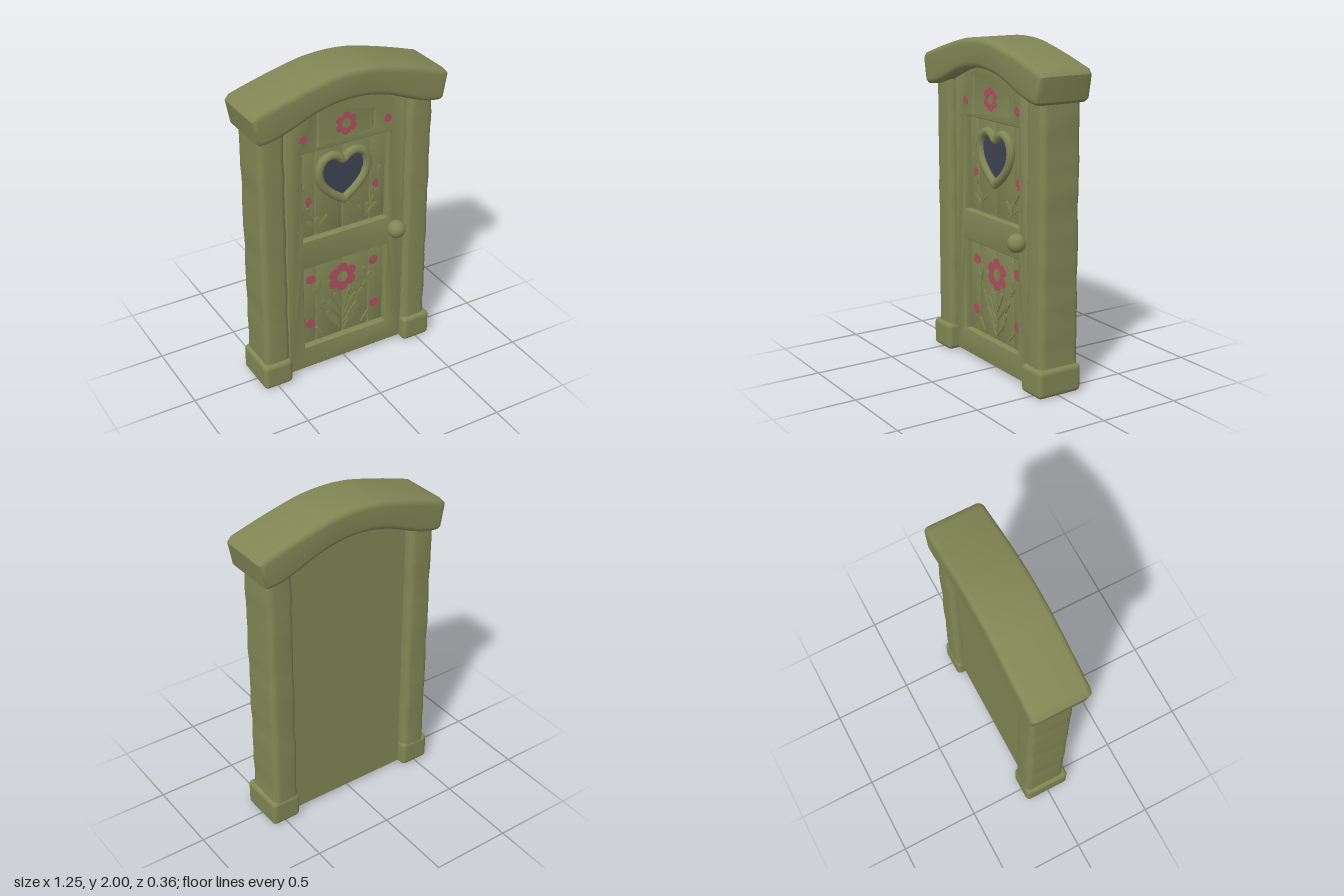
import * as THREE from 'three';
import { toCreasedNormals } from 'three/addons/utils/BufferGeometryUtils.js';
import { RoundedBoxGeometry } from 'three/addons/geometries/RoundedBoxGeometry.js';

const material = (name, color) => {
  const m = new THREE.MeshStandardMaterial({ color });
  m.name = name;
  return m;
};
const V2 = (p) => new THREE.Vector2(p[0], p[1]);

// Extrude a shape so that it fills z0..z1, bevel included
function slab(shape, z0, z1, bevel = 0, curveSegments = 8) {
  const g = new THREE.ExtrudeGeometry(shape, {
    depth: z1 - z0 - 2 * bevel, curveSegments,
    bevelEnabled: bevel > 0, bevelSize: bevel, bevelThickness: bevel, bevelOffset: -bevel, bevelSegments: 4,
  });
  g.translate(0, 0, z0 + bevel);
  return toCreasedNormals(g, 0.7);
}

function rect(x0, y0, x1, y1, Kind = THREE.Shape) {
  return new Kind([[x0, y0], [x1, y0], [x1, y1], [x0, y1]].map(V2));
}

function roundedRect(w, h, r) {
  const s = new THREE.Shape();
  s.absarc(w / 2 - r, h / 2 - r, r, 0, Math.PI / 2);
  s.absarc(r - w / 2, h / 2 - r, r, Math.PI / 2, Math.PI);
  s.absarc(r - w / 2, r - h / 2, r, Math.PI, Math.PI * 1.5);
  s.absarc(w / 2 - r, r - h / 2, r, Math.PI * 1.5, Math.PI * 2);
  return s;
}

// Six rounded petals, with an open centre when hole > 0
function flowerShape(r, hole, wave) {
  const pts = [];
  for (let i = 0; i < 72; i++) {
    const a = (i / 72) * Math.PI * 2;
    const k = r * (1 - wave + wave * Math.sqrt(Math.abs(Math.cos(3 * (a - Math.PI / 2)))));
    pts.push(new THREE.Vector2(k * Math.cos(a), k * Math.sin(a)));
  }
  const s = new THREE.Shape(pts);
  if (hole) s.holes.push(new THREE.Path().absarc(0, 0, hole, 0, Math.PI * 2, true));
  return s;
}

// Leaf growing from the origin along +y
function leafShape(len, w) {
  const s = new THREE.Shape();
  s.moveTo(0, 0);
  s.bezierCurveTo(w * 0.2, len * 0.4, w, len * 0.98, 0, len);
  s.bezierCurveTo(-w, len * 0.98, -w * 0.2, len * 0.4, 0, 0);
  return s;
}

export function createModel() {
  const root = new THREE.Group();
  root.name = 'cottageDoor';
  const green = material('oliveGreen', 0x808654);
  const pink = material('rosePink', 0xac505e);
  const dark = material('slateGlass', 0x3e4252);
  const add = (name, geo, mat = green, x = 0, y = 0, z = 0) => {
    const m = new THREE.Mesh(geo, mat);
    m.name = name;
    m.position.set(x, y, z);
    root.add(m);
    return m;
  };
  const BACK = -0.1, FRONT = 0.085, PANEL = 0.042, GROOVE = 0.027;

  // Arched lintel
  const lintel = new THREE.Shape();
  lintel.moveTo(-0.575, 1.68);
  lintel.splineThru([[-0.5, 1.69], [-0.4, 1.722], [-0.2, 1.8], [0, 1.828], [0.2, 1.8], [0.4, 1.722], [0.5, 1.69], [0.575, 1.68]].map(V2));
  lintel.lineTo(0.6, 1.697);
  lintel.lineTo(0.627, 1.838);
  lintel.lineTo(0.6, 1.87);
  lintel.splineThru([[0.4, 1.93], [0.2, 1.98], [0.1, 1.995], [0, 2], [-0.1, 1.995], [-0.2, 1.98], [-0.4, 1.93], [-0.6, 1.87]].map(V2));
  lintel.lineTo(-0.627, 1.838);
  lintel.lineTo(-0.6, 1.697);
  lintel.closePath();
  add('lintel', slab(lintel, -0.18, 0.178, 0.032, 4));

  // Hand-hewn posts with foot blocks
  for (const side of [-1, 1]) {
    let post = new THREE.ExtrudeGeometry(roundedRect(0.165, 0.268, 0.04), {
      depth: 1.61, steps: 30, bevelEnabled: false, curveSegments: 5,
    });
    post.rotateX(-Math.PI / 2);
    const p = post.attributes.position;
    for (let i = 0; i < p.count; i++) {
      const x = p.getX(i), y = p.getY(i), z = p.getZ(i);
      const wob = 0.002 * Math.sin(y * 17 + side * 2 + z * 6) + 0.002 * Math.sin(y * 31 + side);
      p.setX(i, x + (x > 0 ? wob : -wob * 0.8));
      if (z < 0) p.setZ(i, z + 0.002 * Math.sin(y * 13 + side + x * 8));
    }
    post = toCreasedNormals(post, 0.7);
    add(side > 0 ? 'leftPost' : 'rightPost', post, green, side * 0.486, 0.13, -0.015);
    add(side > 0 ? 'leftFoot' : 'rightFoot', new RoundedBoxGeometry(0.192, 0.17, 0.295, 4, 0.028), green, side * 0.495, 0.085, -0.006);
  }

  // Door leaf: arched backing, then a frame with two openings and plank joints
  const arch = () => {
    const s = new THREE.Shape();
    s.moveTo(-0.395, 0.019);
    s.lineTo(0.405, 0.019);
    s.lineTo(0.405, 1.75);
    s.splineThru([[0.2, 1.83], [0, 1.86], [-0.2, 1.83], [-0.395, 1.75]].map(V2));
    s.closePath();
    return s;
  };
  add('doorBacking', slab(arch(), BACK, GROOVE));
  const openings = [[0.175, 0.75], [0.94, 1.515]];
  const frame = arch();
  for (const [y0, y1] of openings) frame.holes.push(rect(-0.286, y0, 0.286, y1, THREE.Path));
  frame.holes.push(rect(-0.187, 1.55, -0.183, 1.77, THREE.Path), rect(0.183, 1.58, 0.187, 1.68, THREE.Path));
  add('doorFrame', slab(frame, GROOVE - 0.02, FRONT, 0.01));

  // Recessed planks
  const joints = [-0.3, -0.185, 0, 0.185, 0.3];
  for (const [y0, y1] of openings) {
    for (let i = 0; i < 4; i++) {
      add('plank', slab(rect(joints[i] + 0.004, y0 - 0.01, joints[i + 1] - 0.004, y1 + 0.01), GROOVE - 0.01, PANEL, 0.002));
    }
  }

  // Heart window: moulded rim and two glass halves
  const half = [[0.035, 1.43], [0.085, 1.443], [0.138, 1.415], [0.162, 1.347], [0.14, 1.268], [0.08, 1.197], [0.015, 1.149]];
  const loop = [[0, 1.403], ...half, [0, 1.137], ...half.map(([x, y]) => [-x, y]).reverse()];
  const curve = new THREE.CatmullRomCurve3(loop.map(([x, y]) => new THREE.Vector3(x, y, 0)), true);
  add('heartRim', new THREE.TubeGeometry(curve, 96, 0.026, 12, true), green, 0, 0, 0.052);
  for (const side of [-1, 1]) {
    const pts = [[0.003, 1.403], ...half, [0.003, 1.142]].map(([x, y]) => new THREE.Vector2(side * x, y));
    add('heartGlass', slab(new THREE.Shape(pts), PANEL - 0.002, PANEL + 0.005), dark);
  }

  // Door knob on a short stem
  add('knob', new THREE.SphereGeometry(0.056, 32, 20), green, 0.33, 0.865, 0.125);
  const stem = new THREE.CylinderGeometry(0.025, 0.03, 0.06, 20);
  stem.rotateX(Math.PI / 2);
  add('knobStem', stem, green, 0.33, 0.865, 0.1);

  // Painted flowers
  const flower = (x, y, z, r, hole, wave) => add('flower', slab(flowerShape(r, hole, wave), -0.002, 0.003), pink, x, y, z);
  flower(0, 0.583, PANEL, 0.1, 0.038, 0.3);
  flower(0, 1.645, FRONT, 0.071, 0.03, 0.3);
  for (const side of [-1, 1]) {
    flower(side * 0.275, 1.608, FRONT, 0.027, 0, 0.2);
    flower(side * 0.219, 0.634, PANEL, 0.033, 0, 0.12);
    flower(side * 0.227, 0.313, PANEL, 0.033, 0, 0.12);
    flower(side * 0.226, 1.172, PANEL, 0.034, 0, 0.12).scale.x = 0.6;
  }

  // Leaf sprays: x, y, lean, length
  const leaf = (x, y, lean, len) => {
    for (const side of [-1, 1]) {
      add('leaf', slab(leafShape(len, len * 0.25), -0.002, 0.007), green, side * x, y, PANEL).rotation.z = -side * lean;
    }
  };
  const sprays = [
    [0.008, 0.2, 0.6, 0.13], [0.008, 0.25, 0.75, 0.15], [0.008, 0.3, 0.6, 0.16], [0.008, 0.35, 0.35, 0.14],
    [0.09, 0.36, 0.5, 0.11], [0.17, 0.48, -0.1, 0.13], [0.15, 0.48, 0.6, 0.09], [0.13, 0.2, 0.7, 0.09],
    [0.16, 0.96, 0.1, 0.1], [0.16, 0.98, 0.9, 0.1], [0.16, 1.0, -0.8, 0.08], [0.19, 1.05, 0.5, 0.1],
    [0.21, 1.08, 0, 0.08], [0.235, 1.2, 0.25, 0.09],
  ];
  for (const s of sprays) leaf(...s);

  return root;
}
